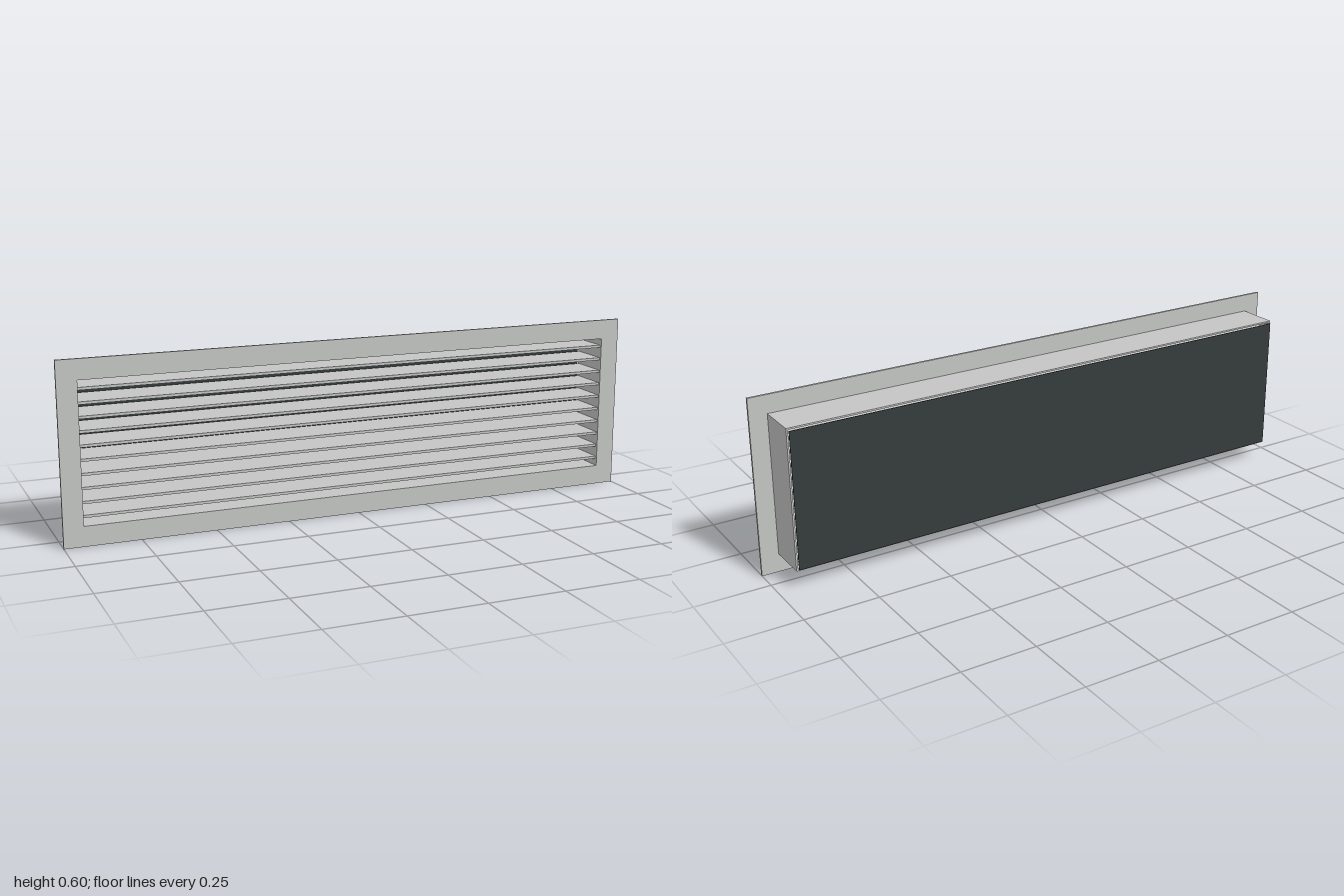
import * as THREE from 'three';

// Rectangular ring with a rectangular opening, extruded along z
function ring(halfW, y0, y1, holeHalfW, holeY0, holeY1, z0, z1) {
  const shape = new THREE.Shape()
    .moveTo(-halfW, y0).lineTo(halfW, y0).lineTo(halfW, y1).lineTo(-halfW, y1).closePath();
  shape.holes.push(new THREE.Path()
    .moveTo(-holeHalfW, holeY0).lineTo(-holeHalfW, holeY1)
    .lineTo(holeHalfW, holeY1).lineTo(holeHalfW, holeY0).closePath());
  return new THREE.ExtrudeGeometry(shape, { depth: z1 - z0, bevelEnabled: false }).translate(0, 0, z0);
}

export function createModel() {
  const aluminium = new THREE.MeshStandardMaterial({ color: 0xc3c5c3 });
  aluminium.name = 'aluminium grey';
  const dark = new THREE.MeshStandardMaterial({ color: 0x353c3c });
  dark.name = 'dark backing';

  const group = new THREE.Group();
  group.name = 'ventGrille';
  const add = (name, geometry, material) => {
    const mesh = new THREE.Mesh(geometry, material);
    mesh.name = name;
    group.add(mesh);
    return mesh;
  };

  // Flat front flange and the open duct sleeve behind it
  add('frontFrame', ring(1, 0, 0.6, 0.934, 0.067, 0.533, 0.07, 0.0785), aluminium);
  add('ductSleeve', ring(0.94, 0.0625, 0.5385, 0.934, 0.067, 0.533, -0.07, 0.07), aluminium);

  // Horizontal louvre slats, evenly spaced across the opening
  const slats = 10, pitch = 0.0454;
  const slatGeometry = new THREE.BoxGeometry(1.868, 0.009, 0.135);
  for (let i = 0; i < slats; i++) {
    add(`slat${i + 1}`, slatGeometry, aluminium)
      .position.set(0, 0.3 + (i - (slats - 1) / 2) * pitch, 0.0025);
  }

  // Thin dark sheet just behind the sleeve
  add('backPanel', new THREE.BoxGeometry(1.868, 0.462, 0.003), dark).position.set(0, 0.3, -0.077);

  return group;
}
